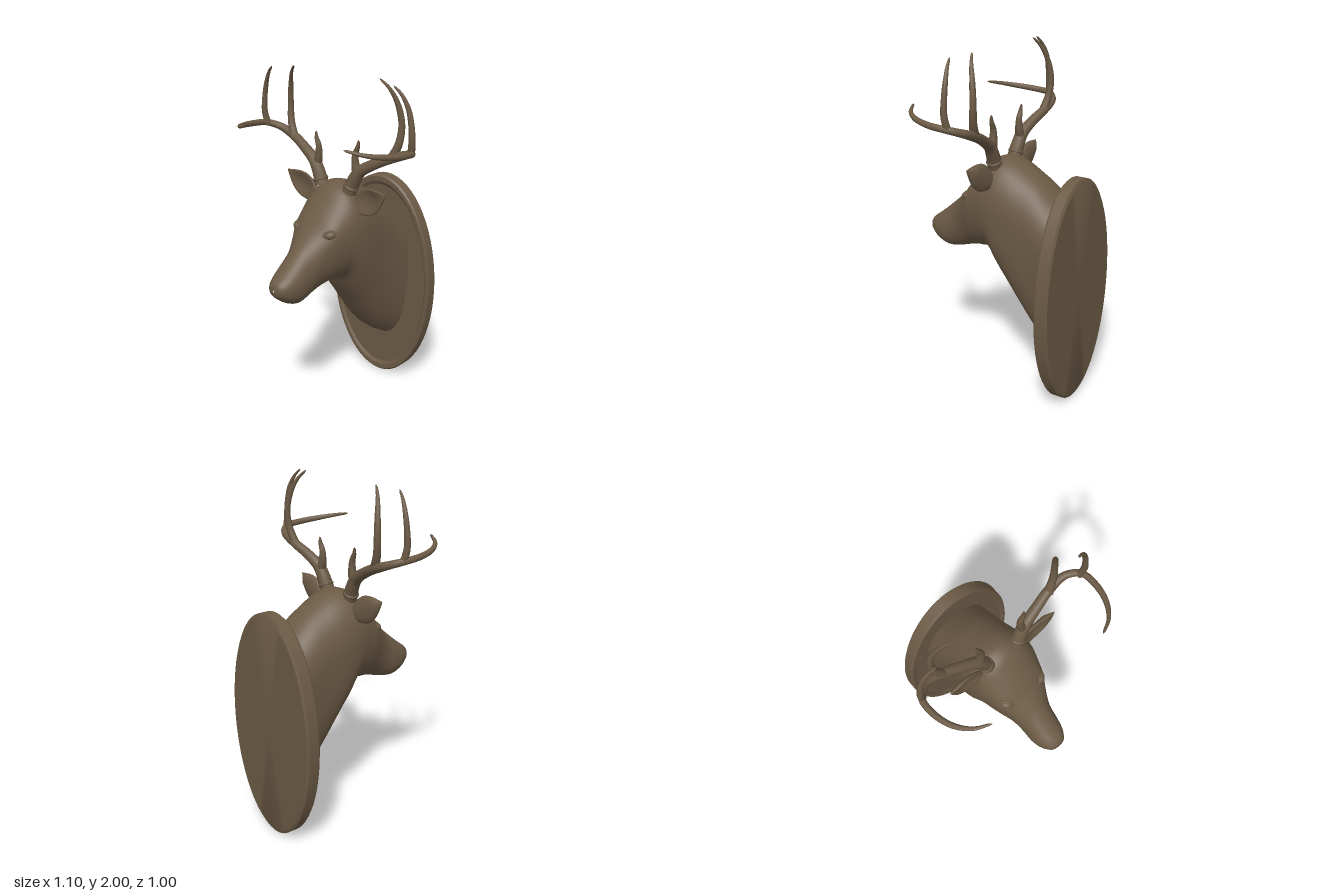
import * as THREE from 'three';
import { toCreasedNormals } from 'three/addons/utils/BufferGeometryUtils.js';

const V = (x, y, z) => new THREE.Vector3(x, y, z);

// Skin a list of rings (equal point counts, counter-clockwise around the direction of travel).
function loft(rings) {
  const n = rings[0].length, index = [];
  for (let i = 0; i < rings.length - 1; i++) {
    for (let j = 0; j < n; j++) {
      const k = (j + 1) % n;
      const a = i * n + j, b = i * n + k, c = b + n, d = a + n;
      index.push(a, b, c, a, c, d);
    }
  }
  const geo = new THREE.BufferGeometry().setFromPoints(rings.flat());
  geo.setIndex(index);
  geo.computeVertexNormals();
  return geo;
}

// Round tube whose radius follows a list of values and closes at the tip.
function taperedTube(points, radii, segments = 28, sides = 12) {
  const curve = new THREE.CatmullRomCurve3(points.map(p => V(...p)));
  const geo = new THREE.TubeGeometry(curve, segments, 1, sides);
  const pos = geo.attributes.position, v = V(0, 0, 0);
  for (let i = 0; i <= segments; i++) {
    const t = i / segments, centre = curve.getPointAt(t);
    const f = t * (radii.length - 1), k = Math.min(Math.floor(f), radii.length - 2);
    const r = i === segments ? 0.0005 : THREE.MathUtils.lerp(radii[k], radii[k + 1], f - k);
    for (let j = 0; j <= sides; j++) {
      const id = i * (sides + 1) + j;
      v.fromBufferAttribute(pos, id).sub(centre).multiplyScalar(r).add(centre);
      pos.setXYZ(id, v.x, v.y, v.z);
    }
  }
  return geo;
}

// Mirrored copy across x = 0 with its winding restored.
function mirrored(geo) {
  const m = geo.clone().scale(-1, 1, 1), ix = m.index;
  for (let i = 0; i < ix.count; i += 3) {
    const b = ix.getX(i + 1);
    ix.setX(i + 1, ix.getX(i + 2));
    ix.setX(i + 2, b);
  }
  return m;
}

// Neck and head as upright slices from the wall to the nose.
function headGeometry() {
  // z, top, bottom, half width, height fraction of widest point, lower squareness
  const rows = [
    [-0.46, 1.12, 0.27, 0.217, 0.68, 0.75],
    [-0.42, 1.16, 0.29, 0.215, 0.68, 0.75],
    [-0.36, 1.21, 0.33, 0.208, 0.67, 0.75],
    [-0.28, 1.28, 0.40, 0.203, 0.65, 0.75],
    [-0.20, 1.33, 0.50, 0.204, 0.62, 0.78],
    [-0.12, 1.375, 0.62, 0.209, 0.58, 0.8],
    [-0.05, 1.395, 0.725, 0.21, 0.55, 0.8],
    [0.00, 1.385, 0.81, 0.205, 0.53, 0.83],
    [0.04, 1.365, 0.838, 0.197, 0.54, 0.9],
    [0.10, 1.30, 0.83, 0.18, 0.6, 0.95],
    [0.16, 1.232, 0.82, 0.16, 0.68, 1],
    [0.205, 1.175, 0.808, 0.135, 0.68, 1],
    [0.25, 1.13, 0.793, 0.115, 0.6, 1],
    [0.30, 1.08, 0.78, 0.101, 0.5, 0.95],
    [0.36, 1.027, 0.775, 0.097, 0.48, 0.9],
    [0.42, 0.978, 0.798, 0.085, 0.5, 0.9],
    [0.46, 0.948, 0.828, 0.065, 0.52, 0.9],
    [0.485, 0.925, 0.853, 0.042, 0.5, 0.95],
    [0.495, 0.895, 0.885, 0.004, 0.5, 1],
  ];
  const spline = new THREE.CubicInterpolant(rows.map((_, i) => i), rows.flat(), 6);
  const pow = (v, e) => Math.sign(v) * Math.abs(v) ** e;
  const rings = [], steps = (rows.length - 1) * 3, sides = 40;
  for (let i = 0; i <= steps; i++) {
    const [z, top, bottom, w, f, low] = spline.evaluate(i / 3);
    const mid = bottom + (top - bottom) * f, ring = [];
    for (let j = 0; j < sides; j++) {
      const a = j / sides * Math.PI * 2, s = Math.sin(a), e = s > 0 ? 0.93 : low;
      ring.push(V(w * pow(Math.cos(a), e), mid + (s > 0 ? top - mid : mid - bottom) * pow(s, e), z));
    }
    rings.push(ring);
  }
  return loft(rings);
}

// Leaf-shaped ear, cupped at the front.
function earGeometry() {
  const widths = [0.036, 0.05, 0.064, 0.073, 0.075, 0.071, 0.06, 0.043, 0.022, 0.002];
  const base = V(0.14, 1.265, -0.01), tip = V(0.362, 1.392, 0);
  const axis = tip.clone().sub(base).normalize(), across = V(-axis.y, axis.x, 0);
  const rings = widths.map((w, i) => {
    const t = i / (widths.length - 1), ring = [];
    for (let j = 0; j < 24; j++) {
      const a = j / 24 * Math.PI * 2, c = Math.cos(a), s = Math.sin(a);
      const cup = 0.03 * Math.sin(Math.PI * t);
      const z = s > 0 ? s * 0.028 - cup * s * s * 1.3 : s * 0.028;
      ring.push(base.clone().lerp(tip, t).addScaledVector(across, w * c).add(V(0, 0, z * Math.min(1, w / 0.04))));
    }
    return ring;
  });
  return loft(rings);
}

// Place a small geometry facing along a direction.
function faceAlong(geo, at, dir, roll) {
  const o = new THREE.Object3D();
  o.position.copy(at);
  o.lookAt(at.clone().add(dir));
  o.rotateZ(roll);
  o.updateMatrix();
  return geo.applyMatrix4(o.matrix);
}

export function createModel() {
  const model = new THREE.Group();
  model.name = 'mountedStagHead';
  const bronze = new THREE.MeshStandardMaterial({ color: 0x6b5a45 });
  bronze.name = 'bronzeBrown';

  const add = (name, geo, parent = model) => {
    const mesh = new THREE.Mesh(geo, bronze);
    mesh.name = name;
    parent.add(mesh);
  };
  const addPair = (name, geo, parent = model) => {
    add(name + 'Left', geo, parent);
    add(name + 'Right', mirrored(geo), parent);
  };

  // Oval wall plaque with a raised rim
  const profile = [[0, -0.5], [0.97, -0.5], [1, -0.49], [1, -0.43], [0.985, -0.42],
    [0.94, -0.42], [0.91, -0.432], [0, -0.432]].map(p => new THREE.Vector2(...p));
  const plaque = new THREE.LatheGeometry(profile, 64);
  plaque.rotateX(Math.PI / 2).scale(0.375, 0.665, 1).translate(0, 0.665, 0);
  add('plaque', toCreasedNormals(plaque, 0.5));

  add('headAndNeck', headGeometry());
  addPair('ear', earGeometry());

  // Eyes with rims
  const eyeAt = V(0.124, 1.15, 0.176), eyeDir = V(0.62, 0.25, 0.74);
  addPair('eye', faceAlong(new THREE.SphereGeometry(1, 20, 14).scale(0.034, 0.022, 0.02), eyeAt, eyeDir, 0.2));
  addPair('eyelid', faceAlong(new THREE.TorusGeometry(1, 0.2, 8, 28).scale(0.035, 0.025, 0.03), eyeAt, eyeDir, 0.2));

  // Nostrils
  addPair('nostril', faceAlong(new THREE.TorusGeometry(0.014, 0.005, 8, 16).scale(1, 0.7, 1),
    V(0.045, 0.905, 0.468), V(0.6, 0.25, 0.75), 0.4));

  // Antlers: a sweeping beam with three tines and a burr at the base
  const antlers = new THREE.Group();
  antlers.name = 'antlers';
  model.add(antlers);
  addPair('antlerBeam', taperedTube([
    [0.10, 1.35, -0.01], [0.13, 1.42, -0.015], [0.165, 1.475, -0.02], [0.25, 1.53, -0.035],
    [0.36, 1.582, -0.055], [0.46, 1.62, -0.05], [0.522, 1.645, 0.005], [0.53, 1.655, 0.1],
    [0.50, 1.668, 0.21], [0.44, 1.685, 0.29], [0.355, 1.705, 0.338],
  ], [0.042, 0.037, 0.031, 0.028, 0.026, 0.021, 0.018, 0.017, 0.015, 0.011, 0.006], 60), antlers);
  addPair('browTine', taperedTube([
    [0.155, 1.45, -0.02], [0.137, 1.51, -0.02], [0.138, 1.57, -0.02], [0.155, 1.61, -0.02], [0.155, 1.65, -0.022],
  ].map(([x, y, z], i) => [x - (i > 3 ? 0.0 : 0.002 * i), y, z]), [0.034, 0.024, 0.019, 0.014, 0.005], 20), antlers);
  addPair('innerTine', taperedTube([
    [0.35, 1.57, -0.05], [0.388, 1.66, -0.065], [0.398, 1.76, -0.073], [0.38, 1.87, -0.058],
    [0.345, 1.95, -0.03], [0.30, 1.998, -0.004],
  ], [0.026, 0.021, 0.018, 0.016, 0.011, 0.005]), antlers);
  addPair('outerTine', taperedTube([
    [0.515, 1.635, 0.0], [0.527, 1.71, 0.012], [0.52, 1.80, 0.014], [0.50, 1.88, 0.018],
    [0.465, 1.945, 0.03], [0.425, 1.985, 0.043],
  ], [0.02, 0.018, 0.016, 0.014, 0.01, 0.005]), antlers);
  addPair('burr', faceAlong(new THREE.TorusGeometry(0.034, 0.011, 8, 20),
    V(0.114, 1.382, -0.012), V(0.4, 0.9, -0.05), 0), antlers);

  return model;
}
